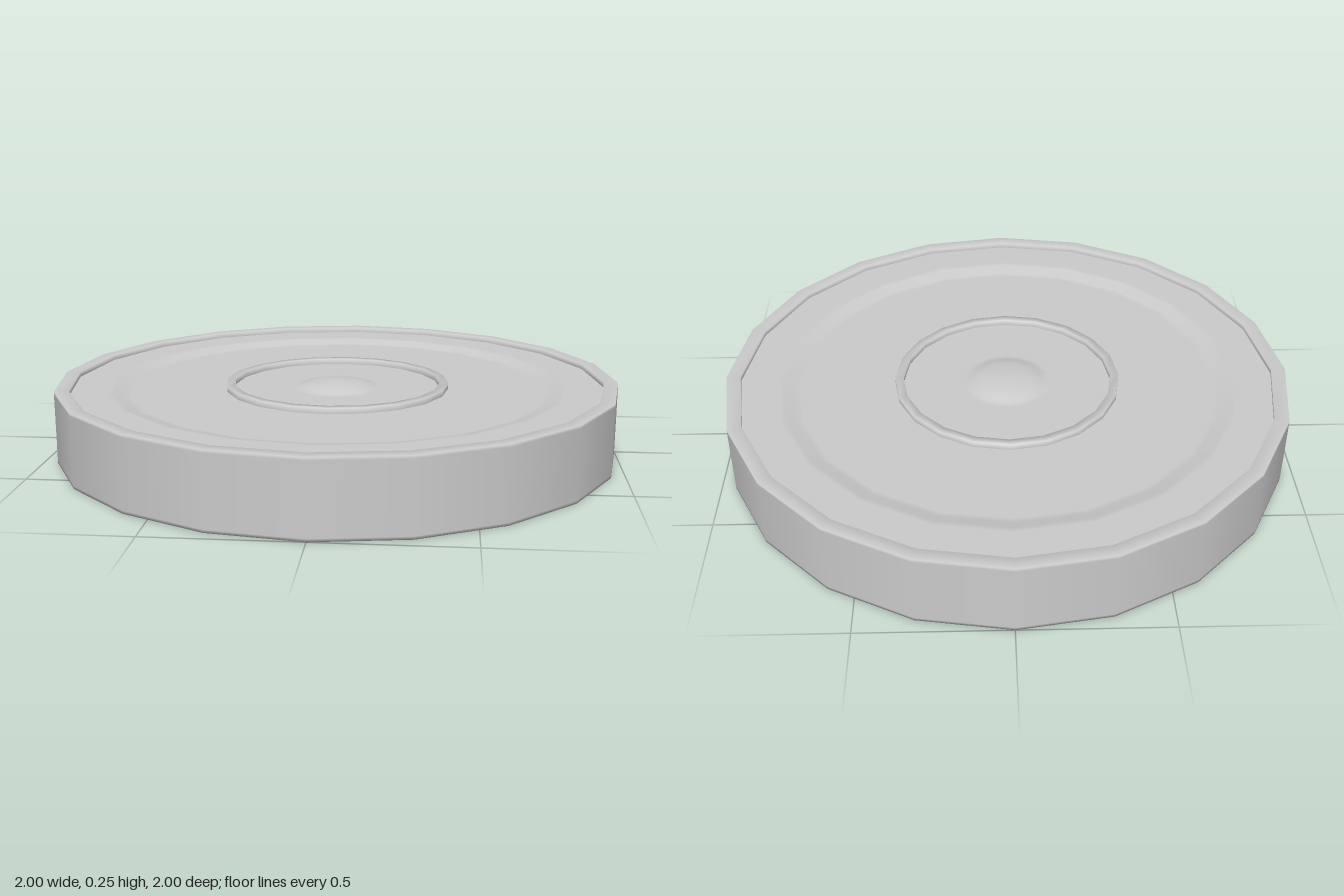
import * as THREE from 'three';

const SIDES = 20;
const TOP = 0.255;
const UPPER_FLOOR = 0.222;
const LOWER_FLOOR = 0.055;

// Smoothly shaded surface turned from [radius, height] pairs
function turned(name, pairs, material) {
  const points = pairs.map(([r, y]) => new THREE.Vector2(r, y));
  const mesh = new THREE.Mesh(new THREE.LatheGeometry(points, SIDES), material);
  mesh.name = name;
  return mesh;
}

// Low rounded button on the axis, from its edge to its centre
const button = (y, rise) => [
  [0.14, y], [0.125, y + rise * 0.35], [0.09, y + rise * 0.7], [0.045, y + rise * 0.93], [0, y + rise],
];

export function createModel() {
  const group = new THREE.Group();
  group.name = 'disc';
  const material = new THREE.MeshStandardMaterial({ color: 0xcccccc });

  // Outer wall with a narrow lip standing proud of both faces
  group.add(turned('rim', [
    [0.95, LOWER_FLOOR], [0.95, 0.01], [0.95, 0], [1, 0], [1, 0.01], [1, 0.02],
    [1, TOP - 0.02], [1, TOP - 0.01], [1, TOP], [0.95, TOP], [0.95, 0.237],
  ], material));

  // Upper face: flat border, then a slope down to the dished floor
  group.add(turned('upperFace', [
    [0.95, 0.237], [0.82, 0.237], [0.8, 0.237], [0.76, UPPER_FLOOR], [0.74, UPPER_FLOOR], [0.4, UPPER_FLOOR],
  ], material));
  group.add(turned('lowerFace', [[0.4, LOWER_FLOOR], [0.95, LOWER_FLOOR]], material));

  // Raised ring around the centre of each face
  group.add(turned('upperRing', [
    [0.4, UPPER_FLOOR], [0.4, 0.243], [0.37, 0.243], [0.37, UPPER_FLOOR],
  ], material));
  group.add(turned('lowerRing', [
    [0.37, LOWER_FLOOR], [0.37, 0.04], [0.4, 0.04], [0.4, LOWER_FLOOR],
  ], material));

  // Hub floors with their domed buttons
  group.add(turned('upperHub', [
    [0.37, UPPER_FLOOR], [0.16, UPPER_FLOOR], ...button(UPPER_FLOOR, 0.025),
  ], material));
  group.add(turned('lowerHub', [
    ...button(LOWER_FLOOR, -0.025).reverse(), [0.16, LOWER_FLOOR], [0.37, LOWER_FLOOR],
  ], material));

  return group;
}
